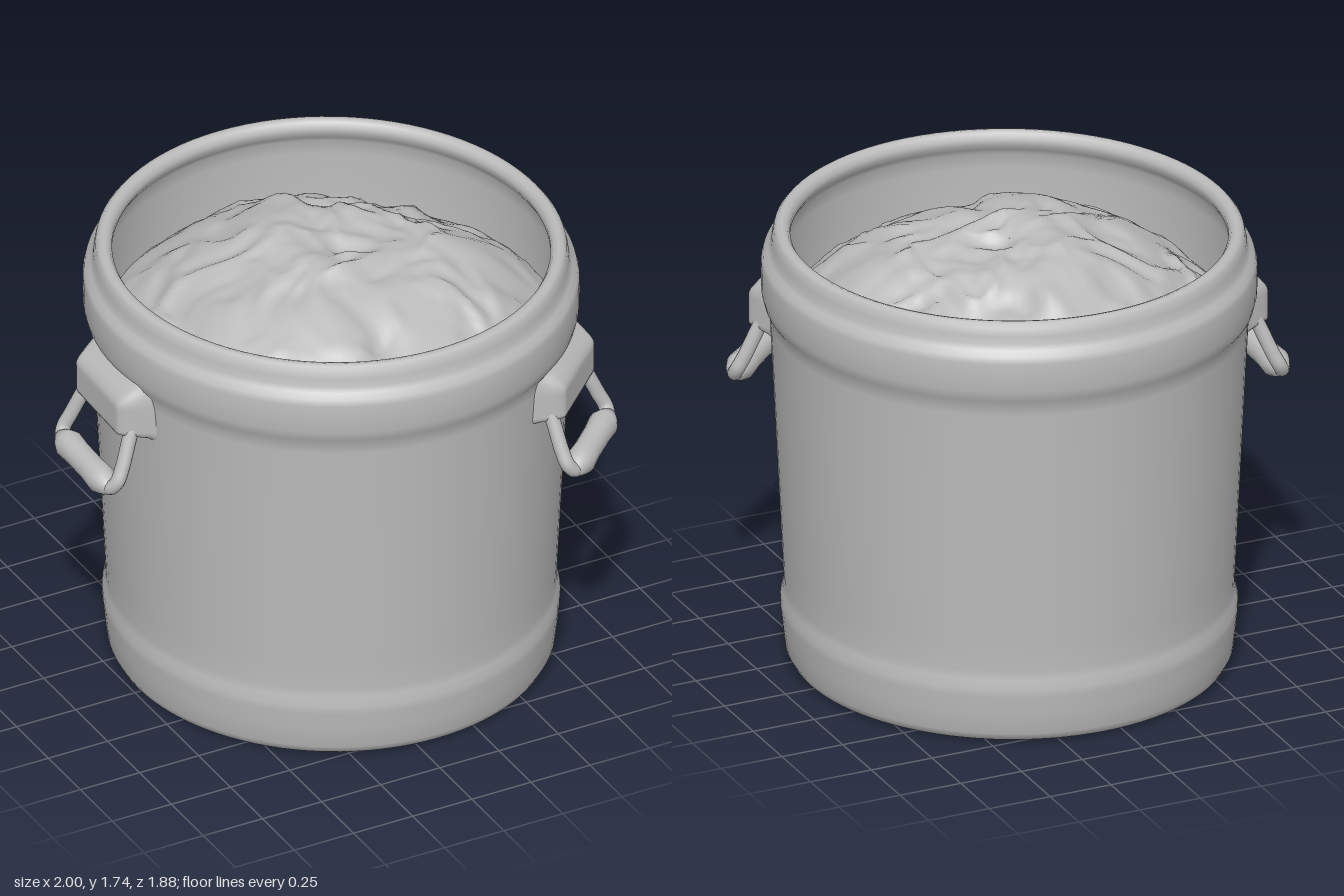
import * as THREE from 'three';
import { mergeVertices } from 'three/addons/utils/BufferGeometryUtils.js';

const grey = new THREE.MeshStandardMaterial({ color: 0xbcbcbc });
grey.name = 'plain grey';

function add(parent, name, geometry) {
  const mesh = new THREE.Mesh(geometry, grey);
  mesh.name = name;
  parent.add(mesh);
  return mesh;
}

const smooth = (a, b, v) => THREE.MathUtils.smoothstep(v, a, b);

// Seeded value noise, about -1 to 1
function hash(i, j) {
  const s = Math.sin(i * 127.1 + j * 311.7) * 43758.5453;
  return (s - Math.floor(s)) * 2 - 1;
}
function noise(x, z) {
  const i = Math.floor(x), j = Math.floor(z);
  const u = smooth(0, 1, x - i), v = smooth(0, 1, z - j);
  const a = hash(i, j) * (1 - u) + hash(i + 1, j) * u;
  const b = hash(i, j + 1) * (1 - u) + hash(i + 1, j + 1) * u;
  return a * (1 - v) + b * v;
}

// Smooth surface without a seam
function weld(geometry) {
  geometry.deleteAttribute('uv');
  geometry.deleteAttribute('normal');
  const merged = mergeVertices(geometry, 1e-4);
  merged.computeVertexNormals();
  return merged;
}

// Lumpy mound that fills the pot
function heapGeometry() {
  const R = 0.865;
  const geo = new THREE.RingGeometry(0.001, R, 140, 60);
  geo.rotateX(-Math.PI / 2);
  const p = geo.attributes.position;
  for (let i = 0; i < p.count; i++) {
    const x = p.getX(i), z = p.getZ(i), r = Math.hypot(x, z) / R;
    // Warped noise gives folded ridges
    const wx = x + 0.1 * noise(x * 4 + 9, z * 4), wz = z + 0.1 * noise(x * 4, z * 4 + 5);
    const lumps = 0.032 * noise(wx * 4.5, wz * 4.5)
      + 0.03 * (0.4 - Math.abs(noise(wx * 7 + 3, wz * 7 + 8)))
      + 0.01 * noise(wx * 15, wz * 15);
    p.setY(i, 1.36 + 0.35 * (1 - Math.pow(r, 2.4)) + lumps * (1 - 0.6 * smooth(0.85, 1, r)));
  }
  return weld(geo);
}

// Swollen mount that blends into the pot wall
function mountGeometry() {
  const geo = new THREE.PlaneGeometry(0.54, 0.32, 36, 28);
  const p = geo.attributes.position;
  for (let i = 0; i < p.count; i++) {
    const t = p.getX(i), y = p.getY(i) + 1.36;
    const wall = Math.sqrt(0.9 * 0.9 - t * t) - 0.025;
    const rise = (1 - smooth(0.17, 0.26, Math.abs(t)))
      * smooth(1.22, 1.26, y) * (1 - smooth(1.37, 1.51, y));
    p.setXYZ(i, t, y, THREE.MathUtils.lerp(wall, 0.975, rise));
  }
  geo.computeVertexNormals();
  return geo;
}

function handle(name, angle) {
  const group = new THREE.Group();
  group.name = name;
  group.rotation.y = angle;
  add(group, 'handleMount', mountGeometry());

  // Thin arms hanging out from the mount
  for (const s of [-1, 1]) {
    const path = new THREE.CatmullRomCurve3([
      [0.18, 1.29, 0.91], [0.192, 1.23, 0.935], [0.215, 1.13, 0.975],
      [0.222, 1.08, 1.0], [0.2, 1.05, 1.018], [0.15, 1.045, 1.02],
    ].map(([t, y, out]) => new THREE.Vector3(s * t, y, out)));
    add(group, 'handleArm', new THREE.TubeGeometry(path, 28, 0.028, 12));
  }

  // Thick grip with tapered ends
  const profile = [[0, -0.21], [0.028, -0.205], [0.045, -0.17], [0.057, -0.135], [0.052, -0.06],
    [0.052, 0.06], [0.057, 0.135], [0.045, 0.17], [0.028, 0.205], [0, 0.21]];
  const grip = add(group, 'handleGrip',
    new THREE.LatheGeometry(profile.map(([r, y]) => new THREE.Vector2(r, y)), 16));
  grip.rotation.z = Math.PI / 2;
  grip.position.set(0, 1.052, 1.02);
  return group;
}

export function createModel() {
  const model = new THREE.Group();
  model.name = 'pot';
  model.position.x = 0.08;
  const root = new THREE.Group();
  root.add(model);

  // Pot wall: flat base, foot band, tapered side, shoulder band, rolled rim, inside
  const profile = [
    [0, 0], [0.79, 0], [0.81, 0.003], [0.835, 0.015], [0.851, 0.045], [0.86, 0.12], [0.868, 0.2],
    [0.868, 0.23], [0.86, 0.265], [0.855, 0.3], [0.86, 0.4], [0.885, 0.9], [0.908, 1.37],
    [0.914, 1.415], [0.93, 1.44], [0.94, 1.48], [0.942, 1.54], [0.941, 1.595], [0.934, 1.62],
    [0.915, 1.64], [0.904, 1.66], [0.9, 1.69], [0.893, 1.72], [0.88, 1.735], [0.862, 1.739],
    [0.843, 1.732], [0.831, 1.712], [0.831, 1.69], [0.845, 1.665], [0.862, 1.64], [0.868, 1.58],
    [0.866, 1.3], [0.85, 1.22], [0, 1.22],
  ].map(([r, y]) => new THREE.Vector2(r, y));
  const pot = add(model, 'potWall', new THREE.LatheGeometry(profile, 96));
  const heap = add(model, 'contents', heapGeometry());
  // Pot is slightly narrower from side to side
  pot.scale.x = heap.scale.x = 0.977;

  model.add(handle('rightHandle', -1.605), handle('frontLeftHandle', 0.76));
  return root;
}
